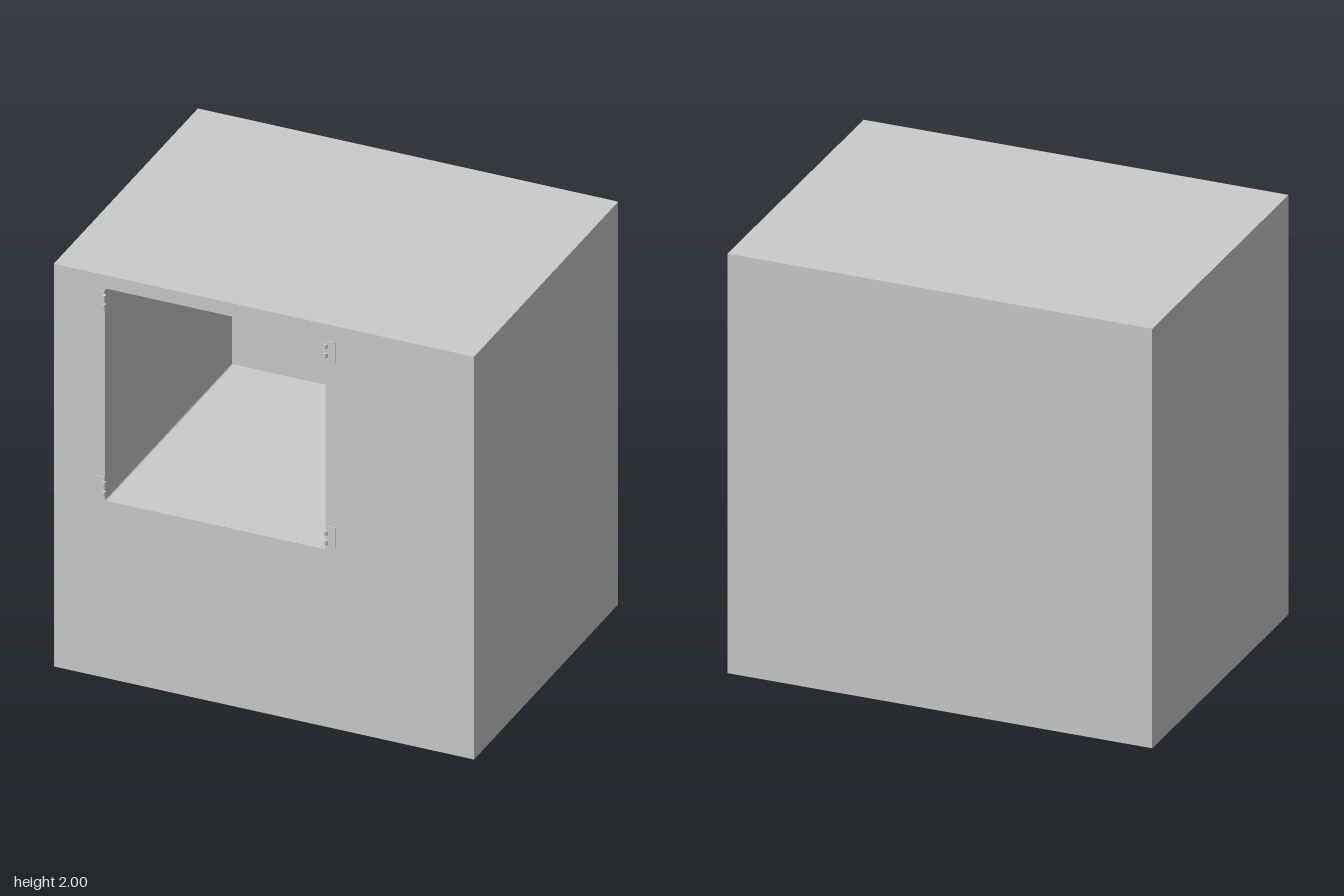
import * as THREE from 'three';

const FRONT = 0.747, BACK = -0.765, RECESS_DEPTH = 1.33;
const HOLE = { x0: -0.755, x1: 0.293, y0: 0.88, y1: 1.934, r: 0.008 };

// Opening outline with slightly rounded corners
function openingOutline(target) {
  const { x0, x1, y0, y1, r } = HOLE;
  target.absarc(x1 - r, y0 + r, r, -Math.PI / 2, 0);
  target.absarc(x1 - r, y1 - r, r, 0, Math.PI / 2);
  target.absarc(x0 + r, y1 - r, r, Math.PI / 2, Math.PI);
  target.absarc(x0 + r, y0 + r, r, Math.PI, Math.PI * 1.5);
  target.closePath();
  return target;
}

export function createModel() {
  const model = new THREE.Group();
  const material = new THREE.MeshStandardMaterial({ color: 0xcccccc });

  function add(parent, name, geometry, x = 0, y = 0, z = 0) {
    const mesh = new THREE.Mesh(geometry, material);
    mesh.name = name;
    mesh.position.set(x, y, z);
    parent.add(mesh);
    return mesh;
  }

  const extrude = (shape, depth) =>
    new THREE.ExtrudeGeometry(shape, { depth, bevelEnabled: false, curveSegments: 4 });

  // Block with the opening cut through it
  const outline = new THREE.Shape([
    new THREE.Vector2(-1, 0), new THREE.Vector2(1, 0),
    new THREE.Vector2(1, 2), new THREE.Vector2(-1, 2),
  ]);
  outline.holes.push(openingOutline(new THREE.Path()));
  add(model, 'body', extrude(outline, FRONT - BACK), 0, 0, BACK);

  // Back wall that closes the recess
  const wallThickness = FRONT - BACK - RECESS_DEPTH;
  add(model, 'recessBack', extrude(openingOutline(new THREE.Shape()), wallThickness), 0, 0, BACK);

  // Fixed hinge halves beside the opening: a thin leaf and two knuckles each
  const levels = [
    { leaf: 0.95, knuckles: [0.92, 0.968] },
    { leaf: 1.87, knuckles: [1.85, 1.895] },
  ];
  const leafGeometry = new THREE.BoxGeometry(0.042, 0.1, 0.005);
  const knuckleGeometry = new THREE.CylinderGeometry(0.009, 0.009, 0.02, 16);
  for (const [side, x] of [[-1, -0.757], [1, 0.297]]) {
    for (const { leaf, knuckles } of levels) {
      const hinge = new THREE.Group();
      hinge.name = 'hinge';
      add(hinge, 'hingeLeaf', leafGeometry, x + side * 0.023, leaf, FRONT + 0.0025);
      for (const y of knuckles) add(hinge, 'hingeKnuckle', knuckleGeometry, x, y, FRONT + 0.009);
      model.add(hinge);
    }
  }
  return model;
}
